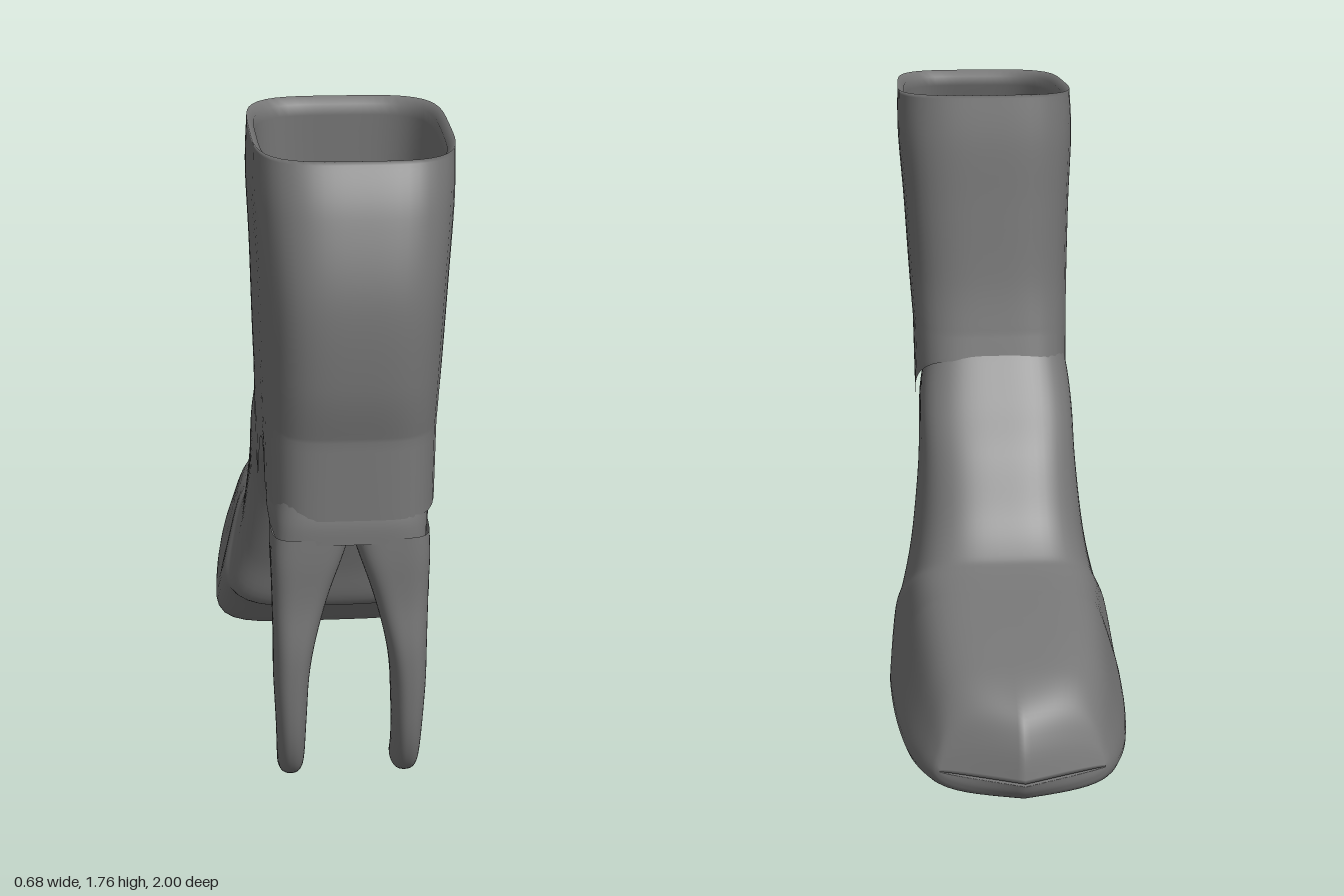
import * as THREE from 'three';

const SEG = 72;
const { clamp } = THREE.MathUtils;
const material = new THREE.MeshStandardMaterial({ color: 0x767676, side: THREE.DoubleSide });

// Section row: [backZ, backY, frontZ, frontY, backHalfWidth, frontHalfWidth, squareness]
// centre(y) shifts the section sideways, sweep(z) bends its sides forward
function section([az, ay, bz, by, wa, wb, n], centre, sweep) {
  const ring = [], cx = centre((ay + by) / 2), pull = sweep((az + bz) / 2);
  for (let i = 0; i < SEG; i++) {
    const a = (i / SEG) * Math.PI * 2, c = Math.cos(a), s = Math.sin(a);
    const r = Math.pow(Math.abs(c) ** n + Math.abs(s) ** n, -1 / n);
    const u = r * c, t = (r * s + 1) / 2;
    ring.push(new THREE.Vector3(
      cx + u * (wa + (wb - wa) * t),
      ay + (by - ay) * t,
      az + (bz - az) * t + pull * Math.abs(u)));
  }
  return ring;
}

// Rings through the given rows, with smooth steps in between
function rings(rows, steps, centre = () => 0, sweep = () => 0) {
  const out = [];
  const at = i => rows[clamp(i, 0, rows.length - 1)];
  for (let i = 0; i < rows.length - 1; i++) {
    for (let k = 0; k < steps; k++) {
      const t = k / steps;
      out.push(rows[i].map((p1, j) => {
        const p0 = at(i - 1)[j], p2 = at(i + 1)[j], p3 = at(i + 2)[j];
        return p1 + 0.5 * t * (p2 - p0 + t * (2 * p0 - 5 * p1 + 4 * p2 - p3 + t * (3 * (p1 - p2) + p3 - p0)));
      }));
    }
  }
  out.push(rows[rows.length - 1]);
  return out.map(row => section(row, centre, sweep));
}

// Skin a list of rings, optionally closing the last one
function loft(name, list, capEnd = false) {
  const pos = [], idx = [];
  list.forEach(r => r.forEach(p => pos.push(p.x, p.y, p.z)));
  for (let j = 0; j < list.length - 1; j++) {
    for (let i = 0; i < SEG; i++) {
      const a = j * SEG + i, b = j * SEG + (i + 1) % SEG;
      idx.push(a, b, a + SEG, b, b + SEG, a + SEG);
    }
  }
  if (capEnd) {
    const last = list[list.length - 1], base = (list.length - 1) * SEG;
    const mid = last.reduce((m, p) => m.add(p), new THREE.Vector3()).divideScalar(SEG);
    pos.push(mid.x, mid.y, mid.z);
    for (let i = 0; i < SEG; i++) idx.push(base + i, base + (i + 1) % SEG, base + SEG);
  }
  const geo = new THREE.BufferGeometry();
  geo.setAttribute('position', new THREE.Float32BufferAttribute(pos, 3));
  geo.setIndex(idx);
  geo.computeVertexNormals();
  const mesh = new THREE.Mesh(geo, material);
  mesh.name = name;
  return mesh;
}

// Height of the shaft's lower edge: meets the foot, arches, then meets the heel
function lowerEdge(z) {
  const pts = [[0.08, 0.98], [0.45, 0.75], [0.52, 0.86], [0.58, 0.93], [0.64, 0.945], [0.69, 0.92], [0.73, 0.84], [1.1, 0.84]];
  const i = Math.max(1, pts.findIndex(p => z <= p[0]));
  const [z0, y0] = pts[i - 1], [z1, y1] = pts[i];
  return y0 + (y1 - y0) * (z - z0) / (z1 - z0);
}

export function createModel() {
  const group = new THREE.Group();

  // Hollow shaft, running from an inner ledge up the lining, over the rim and down the outside
  const shaftCentre = y => 0.018 * y - 0.009;
  const lining = [
    [0.36, 0.97, 0.75, 0.97, 0.165, 0.165, 3.5],
    [0.17, 1.06, 0.92, 1.06, 0.21, 0.20, 4],
    [0.17, 1.4, 0.97, 1.4, 0.235, 0.215, 4],
    [0.185, 1.74, 0.88, 1.73, 0.25, 0.23, 4],
  ];
  const outside = [
    [0.165, 1.76, 0.90, 1.75, 0.268, 0.25, 4],
    [0.15, 1.62, 0.955, 1.62, 0.275, 0.245, 4],
    [0.14, 1.42, 1.0, 1.42, 0.265, 0.232, 4],
    [0.125, 1.2, 0.995, 1.2, 0.255, 0.225, 4],
    [0.105, 1.05, 0.965, 1.05, 0.245, 0.22, 4.5],
  ];
  const shaft = [...rings(lining, 7, shaftCentre), ...rings(outside, 8, shaftCentre)];
  const [hem] = rings([[0.09, 1, 0.967, 1, 0.242, 0.215, 5]], 1, shaftCentre);
  const start = shaft[shaft.length - 1];
  for (let k = 1; k <= 8; k++) {
    shaft.push(hem.map((p, i) => {
      const end = new THREE.Vector3(p.x, lowerEdge(p.z), p.z);
      return start[i].clone().lerp(end, k / 8);
    }));
  }
  group.add(loft('shaft', shaft));

  // Foot, emerging from inside the ankle and swinging to the flat sole and pointed toe
  const foot = [
    [0.135, 1.06, 0.49, 0.81, 0.205, 0.222, 4],
    [0.082, 0.97, 0.44, 0.76, 0.222, 0.234, 3.7],
    [0.0, 0.855, 0.37, 0.71, 0.228, 0.24, 3.7],
    [-0.1, 0.73, 0.305, 0.58, 0.225, 0.25, 3.6],
    [-0.2, 0.57, 0.22, 0.36, 0.227, 0.285, 3.6],
    [-0.28, 0.485, 0.165, 0.21, 0.235, 0.322, 3.9],
    [-0.33, 0.46, 0.06, 0.165, 0.24, 0.35, 4.3],
    [-0.41, 0.44, -0.1, 0.02, 0.24, 0.37, 5],
    [-0.46, 0.43, -0.22, 0.002, 0.24, 0.372, 5],
    [-0.56, 0.41, -0.45, 0.01, 0.23, 0.36, 5],
    [-0.7, 0.38, -0.68, 0.025, 0.215, 0.335, 4.5],
    [-0.83, 0.345, -0.85, 0.045, 0.195, 0.3, 4],
    [-0.925, 0.29, -0.95, 0.062, 0.185, 0.27, 3.5],
    [-0.975, 0.215, -0.985, 0.09, 0.19, 0.25, 3],
    [-1.0, 0.128, -1.0, 0.122, 0.22, 0.22, 2.6],
  ];
  const toeSweep = z => 0.09 * clamp((-0.65 - z) / 0.35, 0, 1) ** 2;
  group.add(loft('foot', rings(foot, 6, () => 0, toeSweep), true));

  // Upper heel, emerging from inside the shaft and joining it to both prongs
  group.add(loft('upperHeel', rings([
    [0.72, 0.9, 0.952, 0.9, 0.222, 0.168, 5],
    [0.722, 0.83, 0.968, 0.83, 0.226, 0.182, 5],
    [0.738, 0.775, 0.97, 0.775, 0.212, 0.188, 5],
  ], 4, y => 0.04 * (y - 0.775))));

  // Two heel prongs that spread apart and hook backwards at the tip
  const prong = [
    [0.737, 0.79, 0.969, 0.79, 0.106, 0.1, 4.5],
    [0.745, 0.72, 0.97, 0.72, 0.094, 0.092, 4],
    [0.755, 0.6, 0.968, 0.6, 0.07, 0.073, 3.2],
    [0.765, 0.45, 0.977, 0.44, 0.051, 0.053, 2.7],
    [0.762, 0.27, 0.955, 0.23, 0.04, 0.043, 2.5],
    [0.752, 0.16, 0.905, 0.1, 0.036, 0.039, 2.5],
    [0.73, 0.1, 0.83, 0.035, 0.034, 0.036, 2.5],
    [0.695, 0.05, 0.75, 0.013, 0.03, 0.032, 2.5],
    [0.65, 0.018, 0.655, 0.006, 0.02, 0.022, 2.3],
  ];
  for (const side of [1, -1]) {
    const spread = y => side * (0.155 - 0.054 * clamp((y - 0.35) / 0.44, 0, 1) ** 1.5);
    group.add(loft(side > 0 ? 'leftHeelProng' : 'rightHeelProng', rings(prong, 6, spread), true));
  }
  return group;
}
